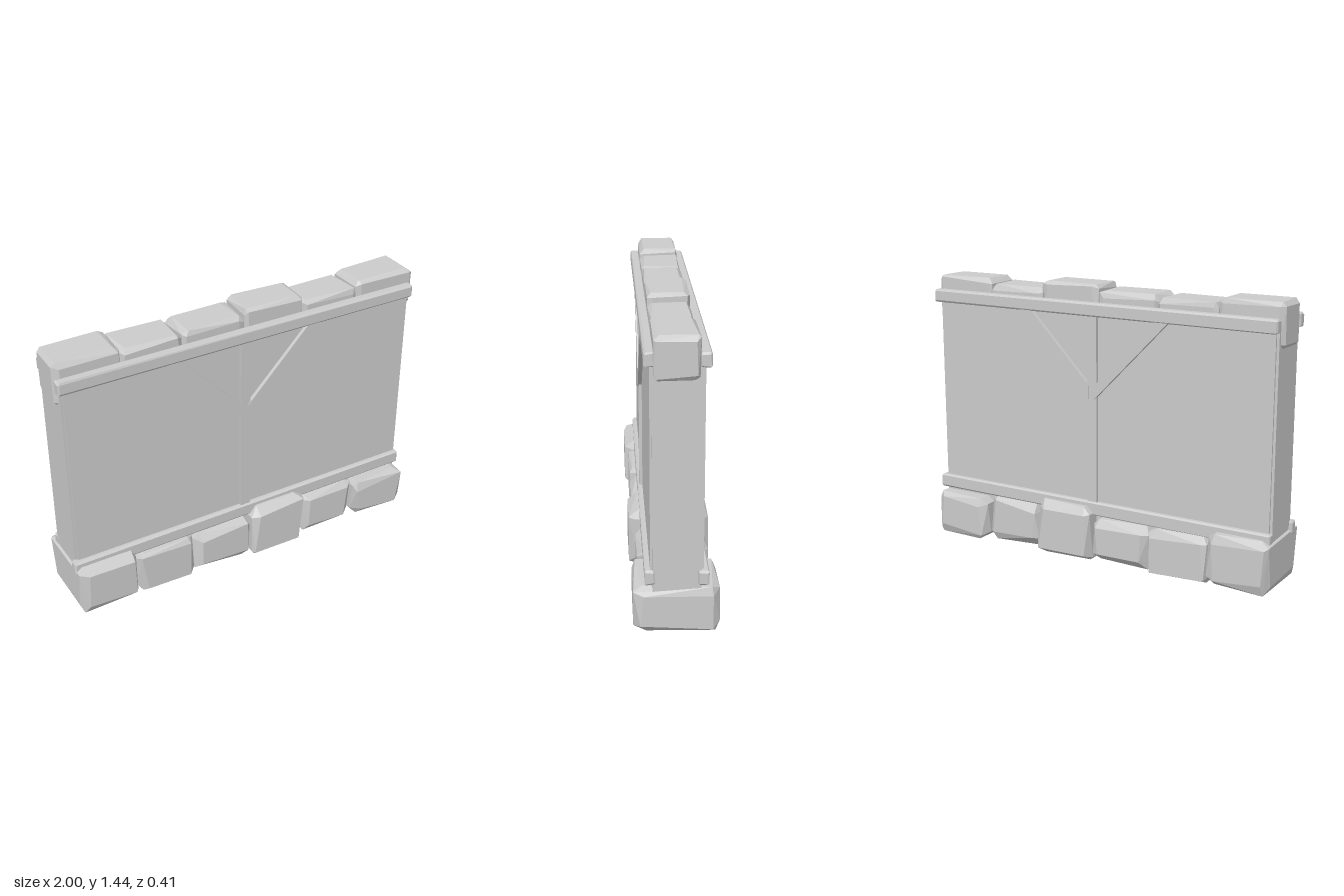
import * as THREE from 'three';
import { ConvexGeometry } from 'three/addons/geometries/ConvexGeometry.js';

const material = new THREE.MeshStandardMaterial({ color: 0xcccccc, flatShading: true });

// Small seeded generator for the hewn irregularities
let seed = 11;
function rand(min, max) {
  seed = (seed * 16807) % 2147483647;
  return min + (max - min) * (seed / 2147483647);
}

function add(parent, name, geometry) {
  const mesh = new THREE.Mesh(geometry, material);
  mesh.name = name;
  parent.add(mesh);
  return mesh;
}

function box(parent, name, [x0, x1], [y0, y1], [z0, z1]) {
  const mesh = add(parent, name, new THREE.BoxGeometry(x1 - x0, y1 - y0, z1 - z0));
  mesh.position.set((x0 + x1) / 2, (y0 + y1) / 2, (z0 + z1) / 2);
  return mesh;
}

// Block with unevenly chamfered corners; inset holds [min, max] cut per axis
function hewnBlock(parent, name, xs, ys, zs, inset) {
  const ranges = [xs, ys, zs];
  const points = [];
  for (let corner = 0; corner < 8; corner++) {
    for (let full = 0; full < 3; full++) {
      const p = ranges.map((range, axis) => {
        const side = (corner >> axis) & 1;
        const cut = axis === full ? 0 : rand(...inset[axis]);
        return range[side] + (side ? -cut : cut);
      });
      points.push(new THREE.Vector3(...p));
    }
  }
  return add(parent, name, new ConvexGeometry(points));
}

function flatBar(parent, name, corners, z0, z1) {
  const shape = new THREE.Shape(corners.map(([x, y]) => new THREE.Vector2(x, y)));
  const geometry = new THREE.ExtrudeGeometry(shape, { depth: z1 - z0, bevelEnabled: false });
  geometry.translate(0, 0, z0);
  return add(parent, name, geometry);
}

// Timber frame and plaster panel for one face of the wall
function createFace(name) {
  const face = new THREE.Group();
  face.name = name;
  box(face, 'panel', [-0.965, 0.965], [0.24, 1.33], [0.1, 0.122]);
  const trim = [[0.004, 0.012], [0.004, 0.012], [0.004, 0.012]];
  hewnBlock(face, 'topBeam', [-0.995, 0.98], [1.287, 1.355], [0.098, 0.147], trim);
  hewnBlock(face, 'bottomBeam', [-0.995, 0.98], [0.248, 0.32], [0.098, 0.147], trim);
  box(face, 'post', [-0.042, 0.013], [0.3, 1.3], [0.11, 0.138]);
  flatBar(face, 'leftBrace', [[-0.03, 0.865], [-0.03, 0.935], [-0.385, 1.3], [-0.46, 1.3]], 0.11, 0.142);
  flatBar(face, 'rightBrace', [[0.0, 0.865], [0.425, 1.3], [0.35, 1.3], [0.0, 0.935]], 0.11, 0.142);
  return face;
}

export function createModel() {
  seed = 11;
  const wall = new THREE.Group();
  wall.name = 'wallSection';

  box(wall, 'wallCore', [-0.978, 0.975], [0.15, 1.33], [-0.112, 0.112]);

  const front = createFace('frontFrame');
  const back = createFace('backFrame');
  back.rotation.y = Math.PI;
  wall.add(front, back);

  // Foundation stones: x range, y range, half depth
  const foundation = new THREE.Group();
  foundation.name = 'foundation';
  const baseStones = [
    [[-0.99, -0.665], [0.02, 0.29], 0.2],
    [[-0.66, -0.335], [0.005, 0.25], 0.182],
    [[-0.33, -0.003], [0.01, 0.24], 0.182],
    [[0.003, 0.325], [0.005, 0.295], 0.203],
    [[0.335, 0.655], [0.01, 0.25], 0.172],
    [[0.662, 0.988], [0, 0.23], 0.2],
  ];
  for (const [xs, ys, d] of baseStones) {
    hewnBlock(foundation, 'foundationStone', xs, ys, [-d, d],
      [[0.01, 0.05], [0.01, 0.055], [0.015, 0.06]]);
  }
  wall.add(foundation);

  // Coping stones, the end ones hanging over the wall ends
  const coping = new THREE.Group();
  coping.name = 'coping';
  const capStones = [
    [[-0.995, -0.66], [1.21, 1.43]],
    [[-0.66, -0.335], [1.23, 1.405]],
    [[-0.335, -0.003], [1.23, 1.415]],
    [[0.003, 0.335], [1.23, 1.44]],
    [[0.335, 0.655], [1.23, 1.402]],
    [[0.653, 1.0], [1.23, 1.428]],
  ];
  for (const [xs, ys] of capStones) {
    hewnBlock(coping, 'copingStone', xs, ys, [-0.1, 0.105],
      [[0.008, 0.035], [0.008, 0.04], [0.006, 0.03]]);
  }
  wall.add(coping);

  return wall;
}
